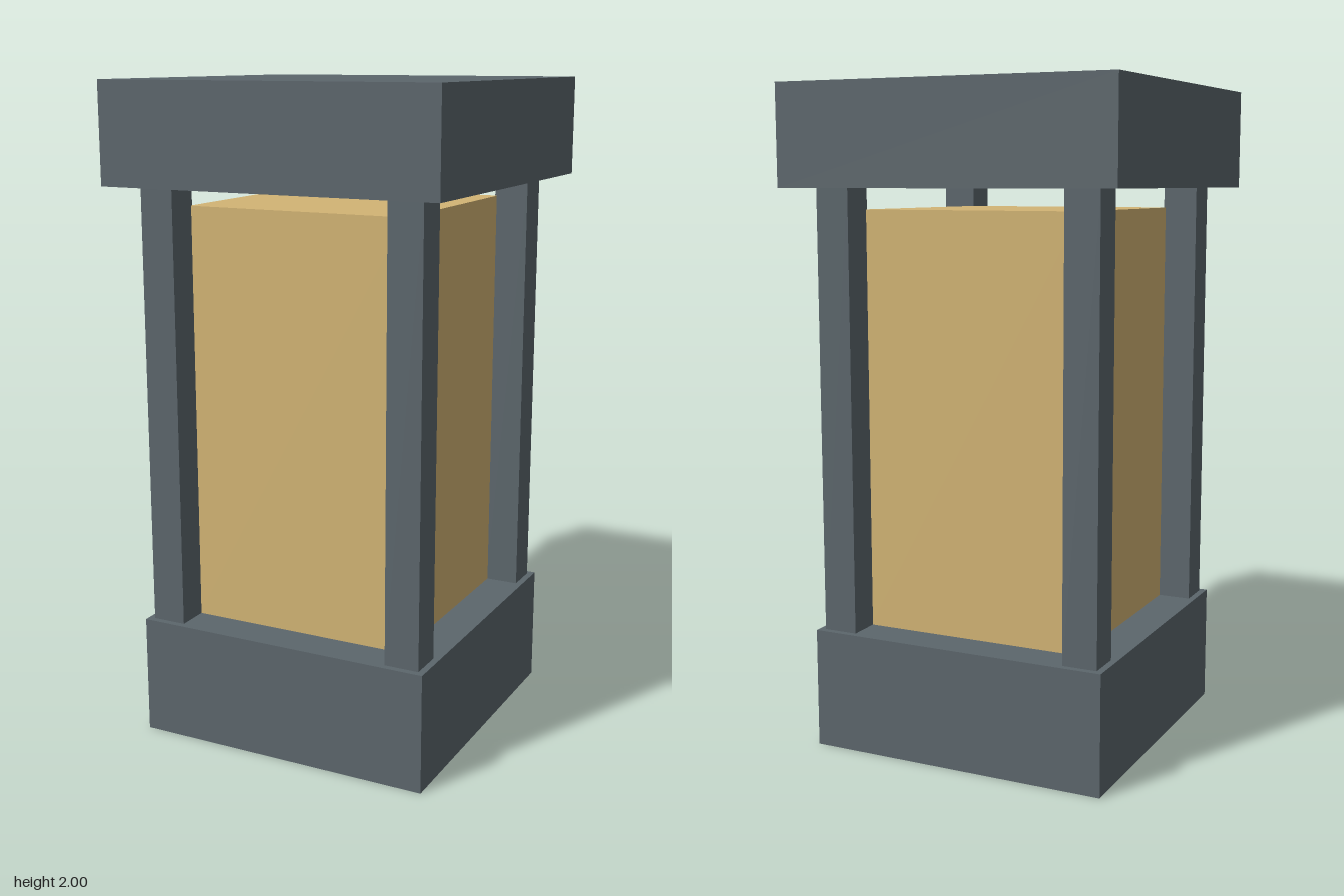
import * as THREE from 'three';

export function createModel() {
  const group = new THREE.Group();
  group.name = 'lantern';

  const frame = new THREE.MeshStandardMaterial({ color: 0x5c666c });
  const glow = new THREE.MeshStandardMaterial({ color: 0xd2b474 });

  // Square block of a given width between two heights
  function block(name, width, bottom, top, material, x = 0, z = 0) {
    const mesh = new THREE.Mesh(new THREE.BoxGeometry(width, top - bottom, width), material);
    mesh.name = name;
    mesh.position.set(x, (bottom + top) / 2, z);
    group.add(mesh);
  }

  block('base', 0.936, 0, 0.365, frame);
  block('cap', 1.056, 1.7, 2, frame);

  // Pane stops just short of the cap
  block('lightPane', 0.694, 0.365, 1.637, glow);

  // Corner posts
  for (const x of [-1, 1]) {
    for (const z of [-1, 1]) {
      const name = (z > 0 ? 'front' : 'back') + (x > 0 ? 'Left' : 'Right') + 'Post';
      block(name, 0.106, 0.365, 1.7, frame, x * 0.395, z * 0.395);
    }
  }

  return group;
}
